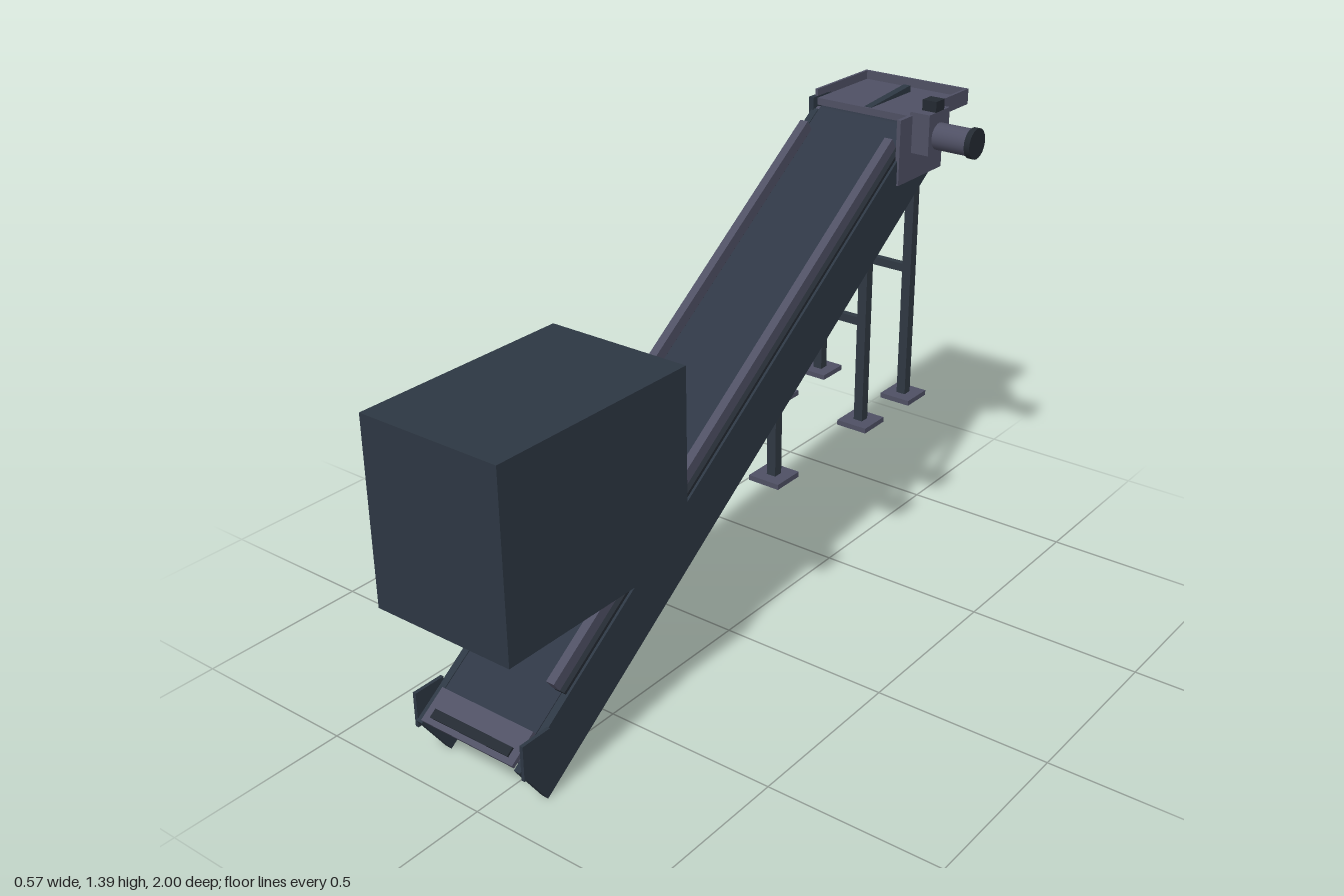
import * as THREE from 'three';

const paint = (name, color) => {
  const m = new THREE.MeshStandardMaterial({ color });
  m.name = name;
  return m;
};

export function createModel() {
  const model = new THREE.Group();
  model.name = 'inclinedConveyor';
  const navy = paint('navy steel', 0x2d3743);
  const belting = paint('belt slate', 0x2f3745);
  const grey = paint('violet grey steel', 0x4f5064);
  const dark = paint('dark steel', 0x242a32);
  const leg = paint('leg steel', 0x2f3842);
  const yellow = paint('yellow panel', 0xd2b556);

  // box given by its limits on each axis
  const box = (parent, name, mat, x0, x1, y0, y1, z0, z1) => {
    const m = new THREE.Mesh(new THREE.BoxGeometry(x1 - x0, y1 - y0, z1 - z0), mat);
    m.position.set((x0 + x1) / 2, (y0 + y1) / 2, (z0 + z1) / 2);
    m.name = name;
    parent.add(m);
  };
  // cylinder lying along x
  const rod = (parent, name, mat, r, x0, x1, y, z) => {
    const m = new THREE.Mesh(new THREE.CylinderGeometry(r, r, x1 - x0, 24), mat);
    m.rotation.z = Math.PI / 2;
    m.position.set((x0 + x1) / 2, y, z);
    m.name = name;
    parent.add(m);
  };
  const mid = -0.073; // conveyor centreline
  const half = 0.175;

  // Inclined bed: local -z runs up the slope, local y is its normal
  const bed = new THREE.Group();
  bed.name = 'inclinedBed';
  bed.position.set(0, 0.004, 0.86);
  bed.rotation.x = THREE.MathUtils.degToRad(35);
  model.add(bed);
  const length = 2.04;
  for (const s of [-1, 1]) {
    const span = (name, mat, a, b, y0, y1, z0, z1) => {
      const p = mid + s * a, q = mid + s * b;
      box(bed, name, mat, Math.min(p, q), Math.max(p, q), y0, y1, z0, z1);
    };
    span('sideFrame', navy, 0.155, half, 0, 0.157, -length, 0);
    span('guardRail', grey, 0.128, 0.153, 0.166, 0.2, -1.96, -0.216);
    span('guardFoot', dark, 0.135, 0.168, 0.154, 0.166, -1.96, -0.216);
  }
  // Belt runs, end pulleys and tail cover
  const bx0 = mid - 0.153, bx1 = mid + 0.153;
  box(bed, 'carryingBelt', belting, bx0, bx1, 0.148, 0.157, -length, -0.06);
  box(bed, 'returnBelt', belting, bx0, bx1, 0.095, 0.102, -length, -0.1);
  rod(bed, 'tailPulley', grey, 0.036, bx0, bx1, 0.132, -0.06);
  rod(bed, 'headPulley', belting, 0.031, bx0, bx1, 0.126, -length);
  box(bed, 'tailCover', grey, bx0, bx1, 0.158, 0.17, -0.1, -0.005);
  box(bed, 'tailCoverSlot', dark, mid - 0.13, mid + 0.13, 0.17, 0.176, -0.045, -0.02);
  // Cross members and return rollers under the bed
  for (let i = 0; i < 5; i++) {
    const z = -0.255 - i * 0.38;
    box(bed, 'crossMember', navy, bx0, bx1, -0.008, 0.012, z - 0.014, z + 0.014);
    rod(bed, 'returnRoller', grey, 0.02, bx0, bx1, 0.06, z + 0.06);
  }

  // Tail bearing plates
  for (const s of [-1, 1]) {
    const x = mid + s * 0.179;
    box(model, 'tailBearingPlate', navy, x - 0.005, x + 0.005, 0.11, 0.21, 0.85, 0.945);
  }

  // Legs, feet and crossbars
  for (const [z, top] of [[-0.1, 0.7], [-0.525, 1.0], [-0.755, 1.15]]) {
    for (const s of [-1, 1]) {
      const x = mid + s * 0.15;
      box(model, 'leg', leg, x - 0.014, x + 0.014, 0.48, top, z - 0.014, z + 0.014);
      box(model, 'footPlate', grey, x - 0.048, x + 0.048, 0.47, 0.485, z - 0.048, z + 0.048);
    }
    const y = 0.47 + (top - 0.47) * 0.6;
    box(model, 'legCrossbar', leg, mid - 0.15, mid + 0.15, y - 0.012, y + 0.012, z - 0.01, z + 0.01);
  }

  // Overhead housing with its yellow rear panel
  box(model, 'housing', navy, -0.286, 0.14, 0.47, 0.986, 0.354, 1.0);
  box(model, 'housingPanelBacking', navy, -0.24, 0.1, 0.71, 0.905, 0.349, 0.355);
  box(model, 'housingPanel', yellow, -0.24, 0.1, 0.71, 0.905, 0.348, 0.349);

  // Head tray with raised rims, open towards the belt
  const head = new THREE.Group();
  head.name = 'headTray';
  model.add(head);
  const hx0 = mid - half, hx1 = mid + half - 0.003;
  box(head, 'trayFloor', grey, hx0, hx1, 1.31, 1.33, -1.0, -0.735);
  box(head, 'trayBackRim', grey, hx0, hx1, 1.33, 1.355, -1.0, -0.992);
  box(head, 'traySideRim', grey, hx0, hx0 + 0.008, 1.33, 1.355, -0.992, -0.735);
  box(head, 'traySideRim', grey, hx1 - 0.008, hx1, 1.33, 1.355, -0.992, -0.735);

  // Central divider plate, tipped slightly and rising through the tray
  const divider = new THREE.Group();
  divider.name = 'divider';
  divider.position.set(0, 1.11, -0.76);
  divider.rotation.x = THREE.MathUtils.degToRad(5);
  model.add(divider);
  box(divider, 'dividerPlate', navy, mid - 0.011, mid + 0.011, 0, 0.222, -0.206, 0);

  // Head bearings and drive
  const drive = new THREE.Group();
  drive.name = 'drive';
  model.add(drive);
  box(drive, 'headBearingPlate', navy, -0.256, -0.24, 1.235, 1.335, -0.805, -0.715);
  box(drive, 'driveMountPlate', grey, 0.096, 0.108, 1.165, 1.35, -0.85, -0.625);
  box(drive, 'gearbox', grey, 0.1, 0.162, 1.245, 1.36, -0.79, -0.685);
  box(drive, 'terminalBox', dark, 0.118, 0.162, 1.36, 1.39, -0.76, -0.717);
  rod(drive, 'driveShaft', grey, 0.02, -0.25, 0.11, 1.285, -0.738);
  rod(drive, 'motor', grey, 0.038, 0.162, 0.27, 1.29, -0.738);
  rod(drive, 'motorEndCap', dark, 0.043, 0.266, 0.283, 1.29, -0.738);

  return model;
}
